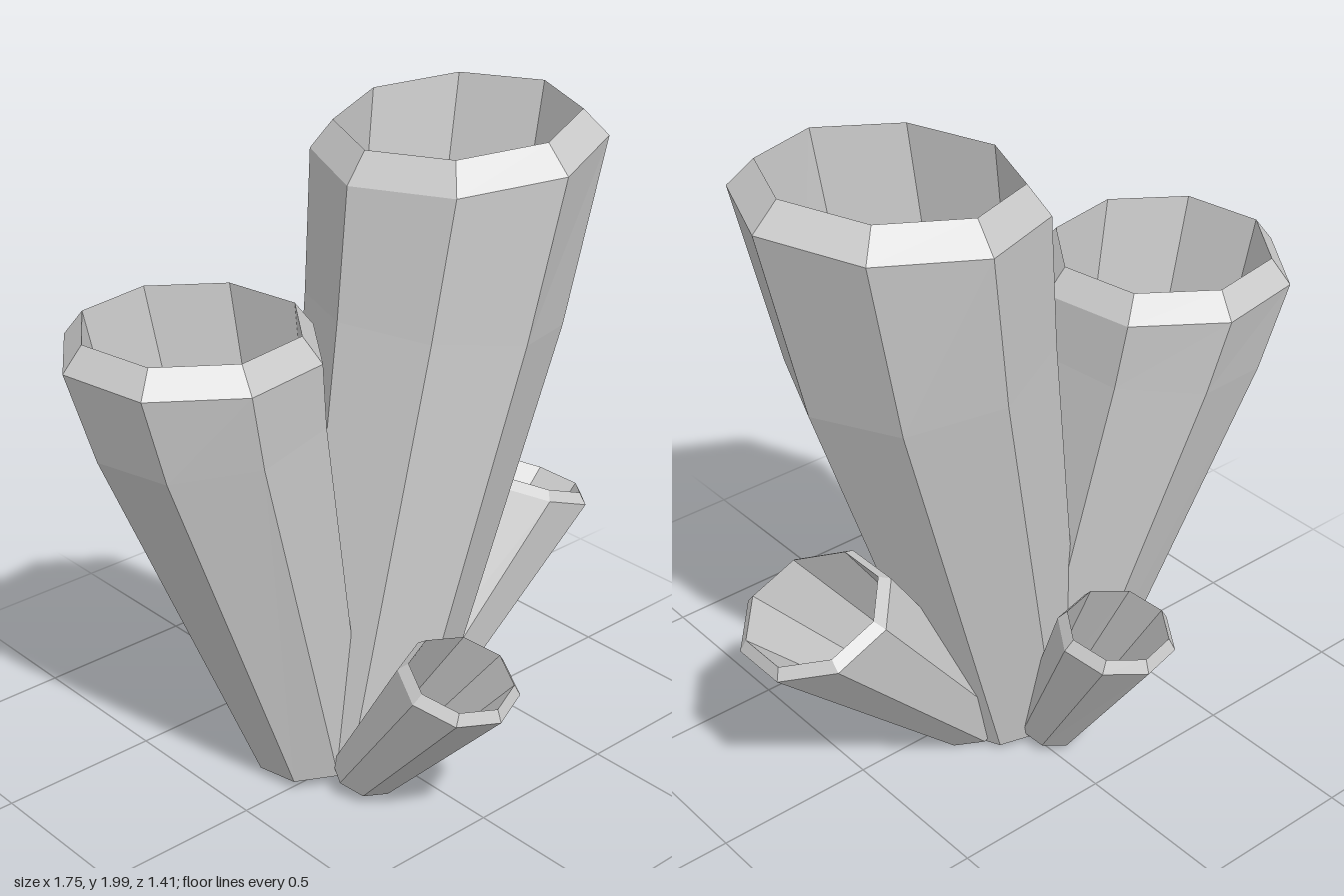
import * as THREE from 'three';

const SIDES = 8;
const UP = new THREE.Vector3(0, 1, 0);

// One octagonal ring: centre, radius, facing direction, twist in degrees, shift along facing
function ring([x, y, z], r, facing, twist, lift = 0) {
  const n = new THREE.Vector3(...facing).normalize();
  const q = new THREE.Quaternion().setFromUnitVectors(UP, n);
  return Array.from({ length: SIDES }, (_, i) => {
    const a = THREE.MathUtils.degToRad(twist) + (i / SIDES) * Math.PI * 2;
    return new THREE.Vector3(r * Math.cos(a), lift, r * Math.sin(a))
      .applyQuaternion(q).add(new THREE.Vector3(x, y, z));
  });
}

// Hollow flared tube: up the outside, over the bevelled lip, down the inside
function tube(name, material, { twist, sections, lipRadius, lipHeight, wall }) {
  const outer = sections.map(([c, r, n]) => ring(c, r, n, twist));
  const [topC, , topN] = sections[sections.length - 1];
  const lip = ring(topC, lipRadius, topN, twist, lipHeight);
  const inner = sections.slice(0, -1).reverse().map(([c, r, n]) => ring(c, r * wall, n, twist));
  const rings = [...outer, lip, ...inner];

  const positions = rings.flat().flatMap((v) => v.toArray());
  const index = [];
  rings.forEach((_, k) => {
    const lo = k * SIDES;
    const hi = ((k + 1) % rings.length) * SIDES;
    for (let i = 0; i < SIDES; i++) {
      const j = (i + 1) % SIDES;
      index.push(lo + i, hi + i, lo + j, lo + j, hi + i, hi + j);
    }
  });
  const indexed = new THREE.BufferGeometry();
  indexed.setAttribute('position', new THREE.Float32BufferAttribute(positions, 3));
  indexed.setIndex(index);
  const geometry = indexed.toNonIndexed();
  geometry.computeVertexNormals();
  const mesh = new THREE.Mesh(geometry, material);
  mesh.name = name;
  return mesh;
}

// Sections are [centre, radius, facing], from the base to the rim
const TUBES = {
  tallTube: {
    twist: 0, lipRadius: 0.355, lipHeight: 0.083, wall: 0.86,
    sections: [
      [[-0.045, 0.045, -0.03], 0.235, [0.13, 1, 0]],
      [[0.275, 1.4, -0.03], 0.38, [0.16, 1, 0]],
      [[0.365, 1.887, -0.03], 0.427, [-0.085, 1, 0]],
    ],
  },
  leftTube: {
    twist: 13, lipRadius: 0.318, lipHeight: 0.075, wall: 0.86,
    sections: [
      [[-0.18, 0.05, -0.075], 0.175, [-0.1, 1, -0.02]],
      [[-0.468, 1.22, -0.152], 0.343, [-0.12, 1, -0.03]],
      [[-0.513, 1.455, -0.163], 0.376, [0.007, 1, 0]],
    ],
  },
  rightTube: {
    twist: 22.5, lipRadius: 0.205, lipHeight: 0.03, wall: 0.86,
    sections: [
      [[0.105, 0.05, -0.04], 0.13, [0.4, 1, 0]],
      [[0.67, 0.7, -0.042], 0.235, [0.41, 1, 0]],
    ],
  },
  frontTube: {
    twist: 0, lipRadius: 0.152, lipHeight: 0.032, wall: 0.86,
    sections: [
      [[-0.15, 0.065, 0.145], 0.105, [0, 1, 0.38]],
      [[-0.15, 0.557, 0.535], 0.177, [0, 1, 0.32]],
    ],
  },
  backTube: {
    twist: 10, lipRadius: 0.15, lipHeight: 0.036, wall: 0.86,
    sections: [
      [[-0.05, 0.05, -0.235], 0.1, [0, 1, -0.25]],
      [[-0.025, 0.583, -0.538], 0.174, [0, 1, -0.17]],
    ],
  },
};

export function createModel() {
  const group = new THREE.Group();
  group.name = 'tubeCluster';
  const material = new THREE.MeshStandardMaterial({ color: 0xcccccc, flatShading: true });
  for (const [name, spec] of Object.entries(TUBES)) group.add(tube(name, material, spec));
  return group;
}
